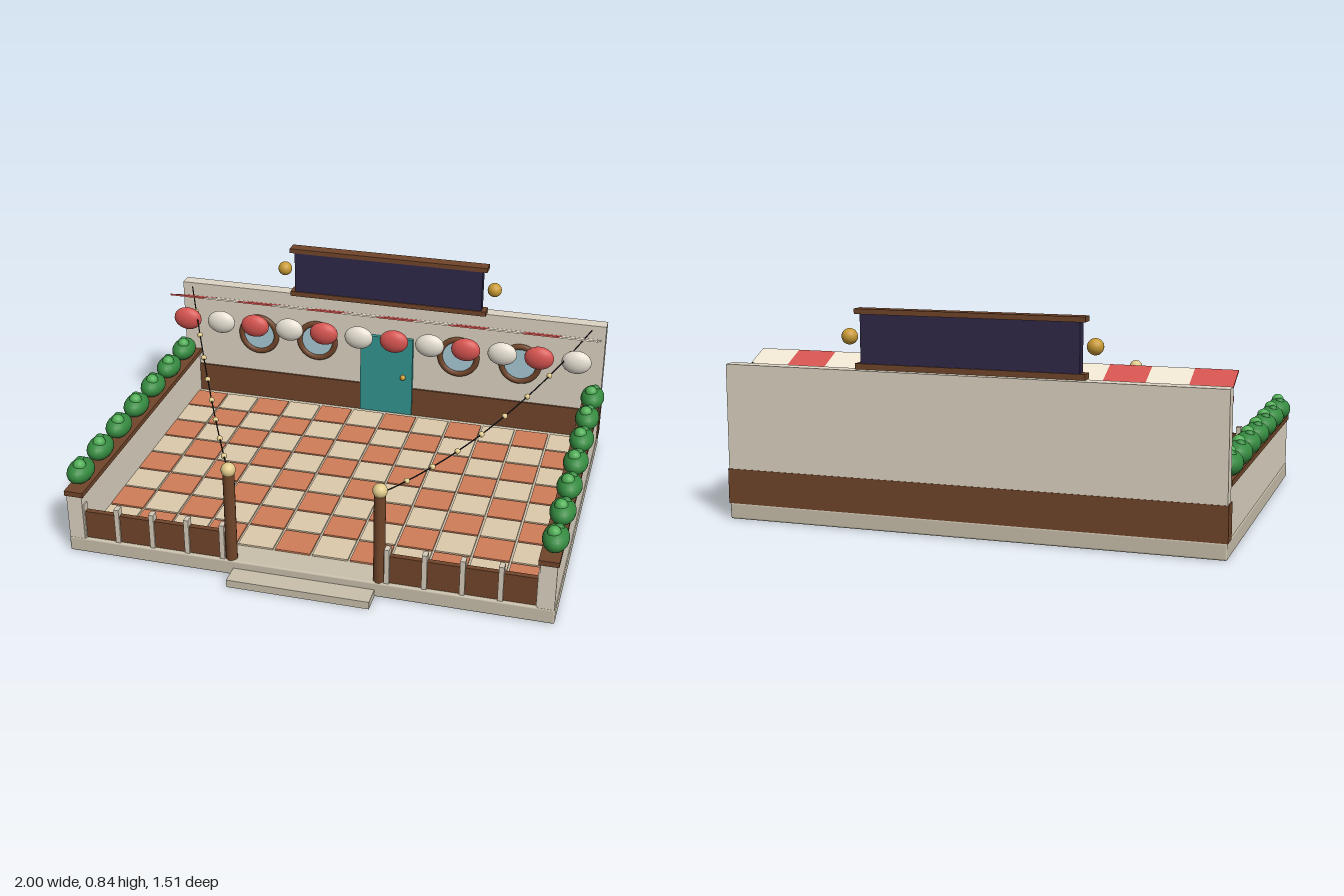
import * as THREE from 'three';
import { RoundedBoxGeometry } from 'three/addons/geometries/RoundedBoxGeometry.js';

const COLORS = {
  stone: 0xc8bfab, wall: 0xdcd3c2, brown: 0x70452a, teal: 0x329590, glass: 0xa6c9d4,
  navy: 0x2f2848, gold: 0xc99a35, bulb: 0xe0cb8c, red: 0xd65450, cream: 0xf0e6d4,
  tile: 0xcf7d58, paleTile: 0xdcc9aa, leaf: 0x358a40, lightLeaf: 0x4fae55,
  wire: 0x222222, lantern: 0xe6dfd2, post: 0xd5cbb9,
};
const mats = {};
for (const key in COLORS) mats[key] = new THREE.MeshStandardMaterial({ color: COLORS[key] });

export function createModel() {
  const model = new THREE.Group();
  model.name = 'cafeTerrace';

  const add = (name, geo, mat, x, y, z, parent = model) => {
    const mesh = new THREE.Mesh(geo, mats[mat]);
    mesh.name = name;
    mesh.position.set(x, y, z);
    parent.add(mesh);
    return mesh;
  };
  // Box given by its low and high limits
  const box = (name, mat, x0, x1, y0, y1, z0, z1, parent) =>
    add(name, new THREE.BoxGeometry(x1 - x0, y1 - y0, z1 - z0), mat,
      (x0 + x1) / 2, (y0 + y1) / 2, (z0 + z1) / 2, parent);
  const ball = (name, mat, r, x, y, z, parent) =>
    add(name, new THREE.SphereGeometry(r, 20, 14), mat, x, y, z, parent);
  const group = (name) => {
    const g = new THREE.Group();
    g.name = name;
    model.add(g);
    return g;
  };

  // Base slab and front step
  add('base', new RoundedBoxGeometry(1.955, 0.065, 1.425, 2, 0.008), 'stone', 0, 0.0325, -0.0425);
  box('frontStep', 'stone', -0.285, 0.285, 0, 0.032, 0.66, 0.755);

  // Checkered floor
  const floor = group('floorTiles');
  const pitch = 0.153;
  for (let row = 0; row < 8; row++) {
    for (let col = 0; col < 12; col++) {
      const x = (col - 5.5) * pitch;
      const z = 0.56 - (row + 0.5) * pitch;
      box('floorTile', (row + col) % 2 ? 'tile' : 'paleTile',
        x - 0.072, x + 0.072, 0.06, 0.072, z - 0.072, z + 0.072, floor);
    }
  }

  // Back wall with wainscot
  box('backWall', 'wall', -0.976, 0.976, 0.06, 0.61, -0.755, -0.697);
  box('wainscot', 'brown', -0.98, 0.98, 0.063, 0.2, -0.757, -0.688);

  // Door
  box('door', 'teal', -0.122, 0.122, 0.07, 0.45, -0.7, -0.678);
  ball('doorKnob', 'gold', 0.013, 0.08, 0.26, -0.672);

  // Round windows
  for (const x of [-0.61, -0.33, 0.33, 0.61]) {
    add('windowFrame', new THREE.TorusGeometry(0.084, 0.013, 10, 36), 'brown', x, 0.39, -0.69);
    const glass = add('windowGlass', new THREE.CylinderGeometry(0.082, 0.082, 0.012, 32),
      'glass', x, 0.39, -0.695);
    glass.rotation.x = Math.PI / 2;
  }

  // Striped awning rising outward, with a lantern under each stripe
  const awning = group('awning');
  const rise = 0.095, depth = 0.215, stripe = 0.1595;
  for (let i = 0; i < 12; i++) {
    const x = (i - 5.5) * stripe;
    const panel = add('awningStripe',
      new THREE.BoxGeometry(stripe, 0.007, Math.hypot(rise, depth)),
      i % 2 ? 'cream' : 'red', x, 0.588, -0.595, awning);
    panel.rotation.x = -Math.atan2(rise, depth);
    const lantern = ball('lantern', i % 2 ? 'lantern' : 'red', 1, x, 0.53, -0.483, awning);
    lantern.scale.set(0.064, 0.052, 0.032);
  }

  // Roof sign with beams and end globes
  box('signBoard', 'navy', -0.427, 0.427, 0.62, 0.825, -0.718, -0.675);
  box('signTopBeam', 'brown', -0.448, 0.448, 0.818, 0.838, -0.724, -0.67);
  box('signBottomBeam', 'brown', -0.448, 0.448, 0.61, 0.632, -0.724, -0.67);

  for (const s of [-1, 1]) {
    const span = (a, b) => (s > 0 ? [a, b] : [-b, -a]);
    ball('signGlobe', 'gold', 0.031, s * 0.479, 0.73, -0.697);

    // Side wall and cap
    box('sideWall', 'wall', ...span(0.91, 0.974), 0.06, 0.258, -0.69, 0.668);
    box('sideWallCap', 'brown', ...span(0.902, 0.98), 0.256, 0.277, -0.695, 0.673);

    // Row of bushes
    for (let i = 0; i < 7; i++) {
      const z = 0.57 - i * 0.1935;
      const x = s * 0.949;
      const bush = ball('bush', 'leaf', 1, x, 0.318, z);
      bush.scale.set(0.051, 0.046, 0.077);
      ball('bushTop', 'lightLeaf', 0.026, x - s * 0.006, 0.354, z + 0.02);
      ball('bushTuft', 'leaf', 0.02, x + s * 0.008, 0.35, z - 0.018);
    }

    // Front fence
    box('fencePanel', 'brown', ...span(0.29, 0.912), 0.06, 0.185, 0.634, 0.656);
    for (let i = 0; i < 5; i++) {
      const x = s * (0.33 + i * 0.146);
      box('fencePost', 'post', x - 0.01, x + 0.01, 0.06, 0.216, 0.63, 0.664);
    }

    // Lamp post
    add('lampPost', new THREE.CylinderGeometry(0.023, 0.023, 0.385, 16), 'brown',
      s * 0.297, 0.2525, 0.645);
    ball('lampGlobe', 'bulb', 0.029, s * 0.297, 0.463, 0.645);

    // Sagging string of lights
    const hang = (t) => new THREE.Vector3(
      s * (0.297 + 0.62 * t), 0.45 + 0.155 * t - 0.36 * t * (1 - t), 0.645 - 1.305 * t);
    const points = Array.from({ length: 13 }, (_, i) => hang(i / 12));
    add('lightWire', new THREE.TubeGeometry(new THREE.CatmullRomCurve3(points), 48, 0.0028, 6),
      'wire', 0, 0, 0);
    for (let i = 1; i < 9; i++) {
      const p = hang(i / 9);
      ball('stringBulb', 'bulb', 0.012, p.x, p.y, p.z);
    }
  }

  return model;
}
